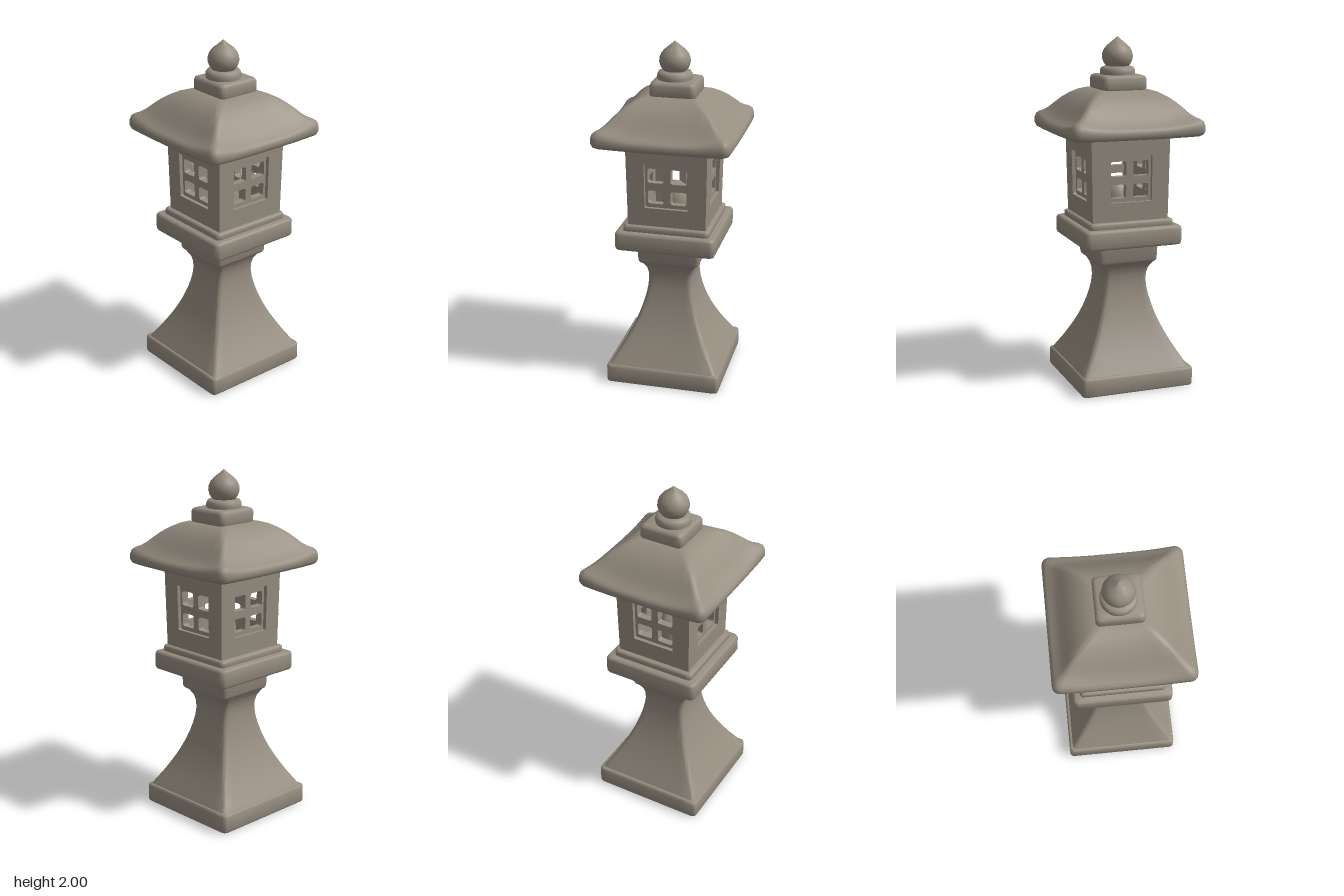
import * as THREE from 'three';
import { toCreasedNormals } from 'three/addons/utils/BufferGeometryUtils.js';

const stone = new THREE.MeshStandardMaterial({ color: 0x968d80 });
stone.name = 'weathered stone';

// Rounded-square cross-section, counter-clockwise seen from above
function section(half, radius) {
  const pts = [], arc = 5, side = 10;
  const r = Math.min(radius, half * 0.9), c = half - r;
  for (let k = 0; k < 4; k++) {
    const rot = k * Math.PI / 2;
    const put = (x, y) => pts.push([
      x * Math.cos(rot) - y * Math.sin(rot),
      -(x * Math.sin(rot) + y * Math.cos(rot))]);
    for (let i = 0; i <= arc; i++) {
      const a = i / arc * Math.PI / 2;
      put(c + r * Math.cos(a), c + r * Math.sin(a));
    }
    for (let i = 1; i < side; i++) put(c - 2 * c * i / side, half);
  }
  return pts;
}

// Loft of square rings [half width, y, corner radius, corner lift], bottom to top
function squareLoft(rings, crease = 0.6) {
  const all = [[0.001, rings[0][1], 0.0005, 0], ...rings,
    [0.001, rings[rings.length - 1][1], 0.0005, 0]];
  const pos = [], idx = [];
  let n = 0;
  for (const [h, y, r, lift = 0] of all) {
    const pts = section(h, r);
    n = pts.length;
    for (const [x, z] of pts) {
      const near = Math.min(Math.abs(x), Math.abs(z)) / h;
      pos.push(x, y + lift * near ** 3, z);
    }
  }
  for (let i = 0; i < all.length - 1; i++) {
    for (let j = 0; j < n; j++) {
      const a = i * n + j, b = i * n + (j + 1) % n;
      idx.push(a, b, b + n, a, b + n, a + n);
    }
  }
  const g = new THREE.BufferGeometry();
  g.setAttribute('position', new THREE.Float32BufferAttribute(pos, 3));
  g.setIndex(idx);
  return toCreasedNormals(g, crease);
}

// Slab with softened top and bottom edges
function slab(half, y0, y1, soft, radius) {
  const e = soft * 0.3;
  return squareLoft([
    [half - soft, y0, radius], [half - e, y0 + e, radius], [half, y0 + soft, radius],
    [half, y1 - soft, radius], [half - e, y1 - e, radius], [half - soft, y1, radius]], 0.9);
}

function roundedRect(path, x0, y0, x1, y1, r) {
  path.moveTo(x0 + r, y0);
  path.lineTo(x1 - r, y0);
  path.quadraticCurveTo(x1, y0, x1, y0 + r);
  path.lineTo(x1, y1 - r);
  path.quadraticCurveTo(x1, y1, x1 - r, y1);
  path.lineTo(x0 + r, y1);
  path.quadraticCurveTo(x0, y1, x0, y1 - r);
  path.lineTo(x0, y0 + r);
  path.quadraticCurveTo(x0, y0, x0 + r, y0);
  return path;
}

// One pinwheel wall layer; the chamber widens slightly towards the top
function wallLayer(outer, depth, holes) {
  const y0 = 0.97, y1 = 1.475, inner = outer - depth;
  const shape = new THREE.Shape();
  shape.moveTo(-outer, y0);
  shape.lineTo(inner, y0);
  shape.lineTo(inner, y1);
  shape.lineTo(-outer, y1);
  shape.closePath();
  for (const h of holes) shape.holes.push(roundedRect(new THREE.Path(), ...h));
  const g = new THREE.ExtrudeGeometry(shape, { depth, bevelEnabled: false, curveSegments: 5 });
  g.translate(0, 0, inner);
  const p = g.attributes.position;
  for (let i = 0; i < p.count; i++) {
    const s = 0.98 + 0.04 * (p.getY(i) - y0) / (y1 - y0);
    p.setXYZ(i, p.getX(i) * s, p.getY(i), p.getZ(i) * s);
  }
  g.computeVertexNormals();
  return g;
}

function lathe(points) {
  const curve = points.map(([x, y]) => new THREE.Vector2(x, y));
  return toCreasedNormals(new THREE.LatheGeometry(curve, 40), 0.7);
}

export function createModel() {
  const model = new THREE.Group();
  model.name = 'stoneLantern';
  const add = (name, geometry, x = 0, z = 0, parent = model) => {
    const mesh = new THREE.Mesh(geometry, stone);
    mesh.name = name;
    mesh.position.set(x, 0, z);
    parent.add(mesh);
    return mesh;
  };

  // Foot and flared pedestal
  add('foot', slab(0.335, 0, 0.112, 0.012, 0.025), -0.004, -0.012);
  const flare = [[0.322, 0.105], [0.295, 0.15], [0.265, 0.2], [0.238, 0.25], [0.213, 0.3],
    [0.191, 0.35], [0.172, 0.4], [0.156, 0.45], [0.143, 0.5], [0.133, 0.55], [0.128, 0.6],
    [0.13, 0.64], [0.138, 0.675], [0.152, 0.7], [0.165, 0.72]];
  add('pedestal', squareLoft(flare.map(([h, y]) => [h, y, 0.025])), -0.004, -0.008);
  add('neck', squareLoft([[0.155, 0.71, 0.02], [0.172, 0.722, 0.02], [0.178, 0.735, 0.02],
    [0.183, 0.845, 0.02]]), -0.002, -0.004);

  // Platform under the light chamber
  add('platform', slab(0.289, 0.835, 0.946, 0.016, 0.03), 0.003);
  add('platformStep', slab(0.25, 0.935, 0.982, 0.012, 0.025), 0.004, 0.002);

  // Light chamber: four walls with a recessed window lattice
  const chamber = new THREE.Group();
  chamber.name = 'lightChamber';
  chamber.position.set(0.007, 0, 0.006);
  model.add(chamber);
  const frame = wallLayer(0.229, 0.022, [[-0.127, 1.09, 0.127, 1.352, 0.008]]);
  const panes = [];
  for (const [x0, x1] of [[-0.112, -0.02], [0.02, 0.112]]) {
    for (const [y0, y1] of [[1.112, 1.19], [1.235, 1.32]]) panes.push([x0, y0, x1, y1, 0.014]);
  }
  const lattice = wallLayer(0.207, 0.04, panes);
  for (let i = 0; i < 4; i++) {
    add('chamberWall', frame, 0, 0, chamber).rotation.y = i * Math.PI / 2;
    add('windowLattice', lattice, 0, 0, chamber).rotation.y = i * Math.PI / 2;
  }
  add('lampDome', lathe([[0.08, 0.97], [0.08, 1.08], [0.074, 1.12], [0.058, 1.155],
    [0.032, 1.178], [0, 1.186]]), 0, 0, chamber);

  // Roof with upturned corners
  add('roof', squareLoft([
    [0.2, 1.46, 0.02], [0.365, 1.458, 0.03, 0.004], [0.38, 1.463, 0.035, 0.008],
    [0.389, 1.477, 0.04, 0.014], [0.39, 1.497, 0.045, 0.026], [0.383, 1.512, 0.045, 0.036],
    [0.368, 1.522, 0.045, 0.04], [0.345, 1.537, 0.04, 0.034], [0.32, 1.562, 0.035, 0.026],
    [0.29, 1.598, 0.03, 0.02], [0.26, 1.632, 0.03, 0.015], [0.225, 1.663, 0.03, 0.011],
    [0.185, 1.689, 0.03, 0.008], [0.15, 1.703, 0.025, 0.004], [0.11, 1.712, 0.02]], 0.9));

  // Cap block, collar and pointed finial
  add('capBlock', slab(0.13, 1.695, 1.787, 0.02, 0.025), 0.012);
  add('collar', lathe([[0, 1.78], [0.098, 1.78], [0.1, 1.8], [0.098, 1.816], [0.09, 1.828],
    [0.07, 1.834], [0, 1.834]]));
  add('finial', lathe([[0.05, 1.825], [0.066, 1.835], [0.08, 1.856], [0.088, 1.882],
    [0.086, 1.906], [0.076, 1.93], [0.058, 1.951], [0.036, 1.969], [0.016, 1.985], [0, 2]]));

  return model;
}
